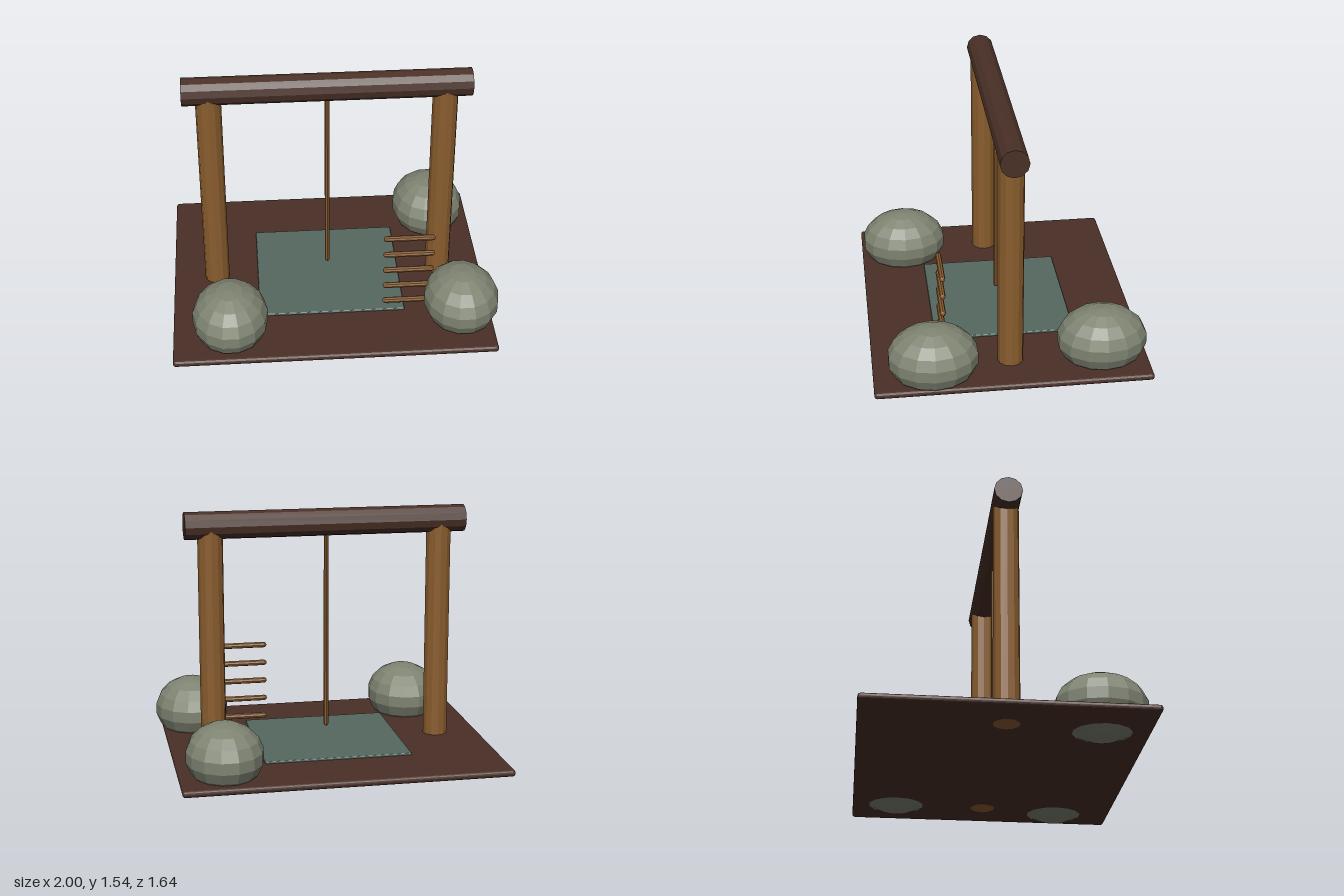
import * as THREE from 'three';
import { RoundedBoxGeometry } from 'three/addons/geometries/RoundedBoxGeometry.js';

const material = (name, color) => {
  const m = new THREE.MeshStandardMaterial({ color, flatShading: true });
  m.name = name;
  return m;
};

export function createModel() {
  const model = new THREE.Group();
  model.name = 'playStand';
  const darkWood = material('darkWood', 0x4a3027);
  const wood = material('wood', 0x8a5d2e);
  const stone = material('stone', 0x7f8472);
  const slate = material('slate', 0x566860);

  const add = (name, geometry, mat, x, y, z) => {
    const mesh = new THREE.Mesh(geometry, mat);
    mesh.name = name;
    mesh.position.set(x, y, z);
    model.add(mesh);
    return mesh;
  };
  const midX = -0.022;

  // Base board and inset mat
  add('baseBoard', new RoundedBoxGeometry(1.955, 0.04, 1.645, 2, 0.018), darkWood, midX, 0.065, 0);
  add('mat', new RoundedBoxGeometry(0.895, 0.02, 0.855, 2, 0.008), slate, midX, 0.089, 0);

  // Two upright logs
  for (const side of [-1, 1]) {
    add(side > 0 ? 'leftPost' : 'rightPost',
      new THREE.CylinderGeometry(0.077, 0.077, 1.4, 12), wood, midX + side * 0.705, 0.7445, 0);
  }

  // Log lying across the posts
  add('crossBeam', new THREE.CylinderGeometry(0.084, 0.084, 1.72, 12), darkWood, midX, 1.455, 0)
    .rotation.z = Math.PI / 2;

  // Hanging rope
  add('rope', new THREE.CapsuleGeometry(0.015, 1.22, 3, 8), wood, -0.024, 0.79, 0);

  // Floating ladder rungs
  for (let i = 0; i < 5; i++) {
    add('rung', new THREE.CapsuleGeometry(0.018, 0.278, 3, 8), wood, 0.447, 0.137 + i * 0.1175, 0.39)
      .rotation.z = Math.PI / 2;
  }

  // Faceted boulders sunk through the board
  const boulder = new THREE.SphereGeometry(1, 14, 9);
  for (const [x, z] of [[-0.65, 0.545], [0.768, 0.467], [0.682, -0.55]]) {
    add('boulder', boulder, stone, x, 0.198, z).scale.set(0.232, 0.198, 0.272);
  }
  return model;
}
